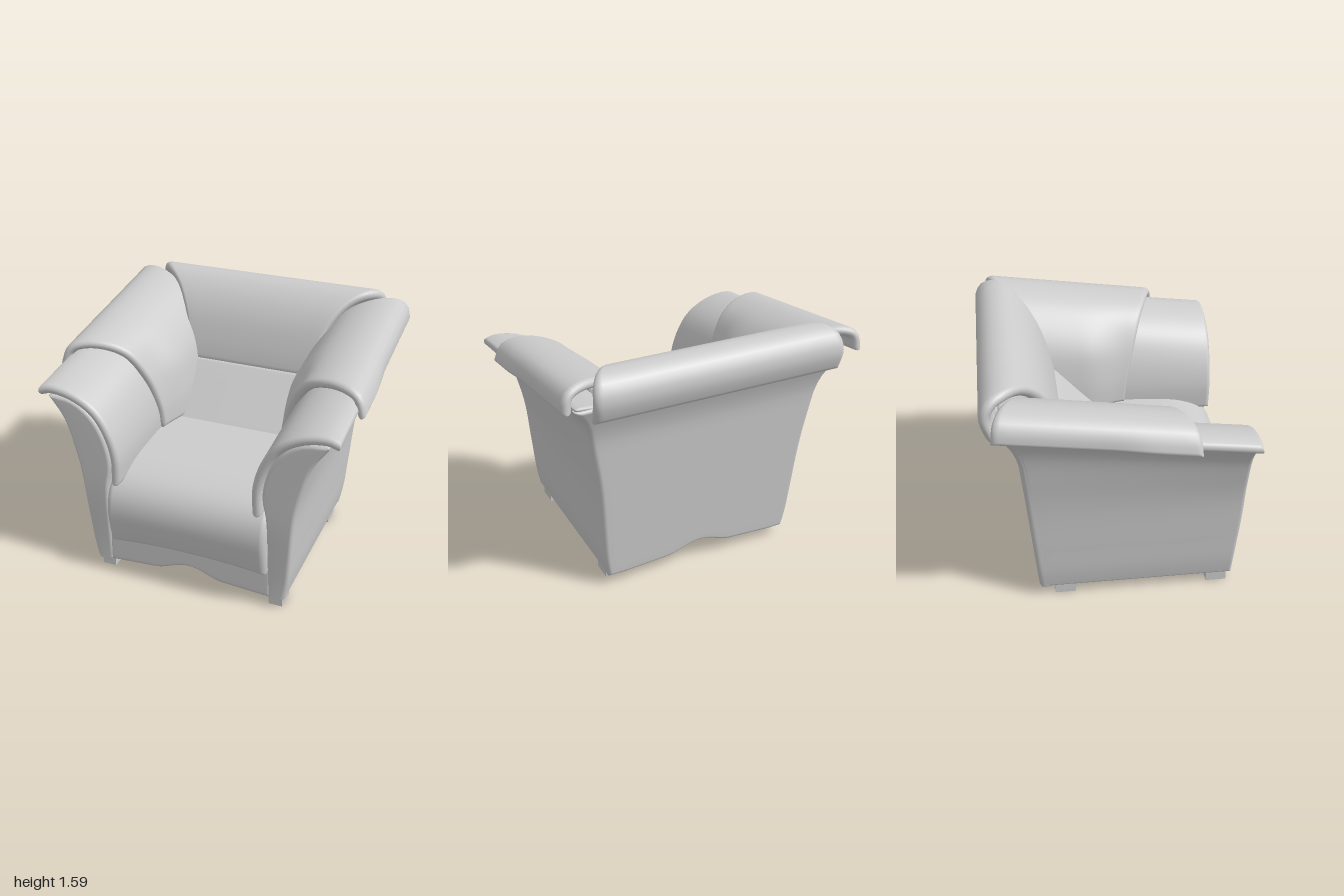
import * as THREE from 'three';
import { mergeVertices } from 'three/addons/utils/BufferGeometryUtils.js';

const material = new THREE.MeshStandardMaterial({ color: 0xcccccc, roughness: 0.8 });
const { lerp, clamp } = THREE.MathUtils;
const ease = (a, b, t) => THREE.MathUtils.smoothstep(t, a, b);
const V = (x, y, z) => new THREE.Vector3(x, y, z);
const curve = (pts) => new THREE.CatmullRomCurve3(pts.map(([x, y, z = 0]) => V(x, y, z)), false, 'centripetal');

// Parameters from 0 to 1, packed at both ends to form a rounded edge of radius r
function stops(length, r, n) {
  const edge = [{ s: 0, inset: 1, cap: true }];
  for (let i = 0; i <= 5; i++) {
    const a = (i / 5) * Math.PI / 2;
    edge.push({ s: r * (1 - Math.cos(a)) / length, inset: 1 - Math.sin(a) });
  }
  const s0 = r / length, middle = [];
  for (let i = 1; i < n; i++) middle.push({ s: lerp(s0, 1 - s0, i / n), inset: 0 });
  return [...edge, ...middle, ...edge.map((e) => ({ ...e, s: 1 - e.s })).reverse()];
}

// Closed body between two surfaces A(u,v) and B(u,v), with rounded edges
function body(name, A, B, r, nu = 24, nv = 16) {
  const span = (f) => {
    let d = 0;
    for (let i = 0; i < 12; i++) d += f(i / 12).distanceTo(f((i + 1) / 12));
    return d;
  };
  const us = stops(span((t) => A(t, 0.5)), r, nu);
  const vs = stops(span((t) => A(0.5, t)), r, nv);
  const pos = [], index = [], W = vs.length, half = us.length * W;
  for (const [P, Q] of [[A, B], [B, A]]) {
    for (const u of us) for (const v of vs) {
      const p = P(u.s, v.s), q = Q(u.s, v.s), h = p.distanceTo(q) / 2;
      const k = u.cap || v.cap ? 0 : clamp(1 - r * Math.max(u.inset, v.inset) / h, 0, 1);
      const m = p.clone().add(q).multiplyScalar(0.5);
      pos.push(...m.lerp(p, k).toArray());
    }
  }
  // Choose the winding that faces away from the opposite surface
  const e = 0.01, c = A(0.5, 0.5);
  const n = A(0.5 + e, 0.5).sub(c).cross(A(0.5, 0.5 + e).sub(c));
  const flip = n.dot(c.clone().sub(B(0.5, 0.5))) < 0;
  for (let side = 0; side < 2; side++) {
    for (let i = 0; i < us.length - 1; i++) for (let j = 0; j < W - 1; j++) {
      const a = side * half + i * W + j, b = a + W;
      if (flip !== (side === 1)) index.push(a, a + 1, b, b, a + 1, b + 1);
      else index.push(a, b, a + 1, b, b + 1, a + 1);
    }
  }
  let g = new THREE.BufferGeometry();
  g.setAttribute('position', new THREE.Float32BufferAttribute(pos, 3));
  g.setIndex(index);
  g = mergeVertices(g, 1e-5);
  g.computeVertexNormals();
  const mesh = new THREE.Mesh(g, material);
  mesh.name = name;
  return mesh;
}

// Cushion of even thickness around a centre surface C(u,v)
function cushion(name, C, thickness, nu, nv) {
  const side = (k) => (u, v) => {
    const e = 0.004;
    const du = C(Math.min(u + e, 1), v).sub(C(Math.max(u - e, 0), v));
    const dv = C(u, Math.min(v + e, 1)).sub(C(u, Math.max(v - e, 0)));
    return C(u, v).addScaledVector(du.cross(dv).normalize(), k * thickness / 2);
  };
  return body(name, side(1), side(-1), thickness / 2, nu, nv);
}

// Shared shape rules: raked back, rising arms, arched lower edge
const backZ = (y) => -0.495 - 0.09 * y - 0.09 * Math.pow(Math.max(0, (y - 1.1) / 0.3), 1.5);
const frontZ = (y) => 0.742 + 0.03 * ease(0.05, 0.7, y);
const rise = (y, z) => 0.13 * (0.77 - z) * ease(0.6, 1.2, y);
const arch = (x) => 0.05 * (1 - ease(0.02, 0.23, Math.abs(x))) + 0.035 * Math.max(0, 1 - Math.abs(x) / 0.52);

const armOuter = curve([[0.635, 0.068], [0.658, 0.2], [0.674, 0.4], [0.7, 0.715], [0.737, 0.89], [0.79, 1.06], [0.885, 1.2]]);
const armInner = curve([[0.525, 0.068], [0.525, 0.3], [0.515, 0.65], [0.49, 0.8], [0.525, 0.98], [0.605, 1.115], [0.72, 1.195], [0.87, 1.215]]);
const lowerPad = curve([[0.462, 0.665], [0.46, 0.85], [0.505, 1.01], [0.59, 1.14], [0.725, 1.22], [0.87, 1.245], [0.94, 1.225]]);
const upperPad = curve([[0.425, 0.775], [0.437, 0.93], [0.495, 1.13], [0.61, 1.305], [0.79, 1.372], [0.92, 1.345], [0.968, 1.24]]);

function armSide(m) {
  const g = new THREE.Group();
  g.name = m > 0 ? 'leftArm' : 'rightArm';

  // Flared side panel
  const wall = (c) => (u, v) => {
    const p = c.getPointAt(u);
    const z = lerp(frontZ(p.y), backZ(p.y + 0.18 * ease(0.6, 1.2, p.y)) + 0.02, v);
    return V(m * p.x, p.y + rise(p.y, z), z);
  };
  g.add(body('armPanel', wall(armOuter), wall(armInner), 0.025, 30, 14));

  // Lower pad draped over the front of the arm
  g.add(cushion('lowerArmPad', (u, v) => {
    const p = lowerPad.getPointAt(u), z = lerp(0.78, -0.1, v);
    return V(m * p.x, p.y + rise(p.y, z), z);
  }, 0.06, 30, 10));

  // Upper pad with a slanting front edge, swelling inwards towards the back
  g.add(cushion('upperArmPad', (u, v) => {
    const p = upperPad.getPointAt(u);
    const t = clamp((p.x - 0.425) / 0.543, 0, 1);
    const z = lerp(0.17 + 0.26 * Math.pow(t, 0.6), -0.4 - 0.34 * Math.sqrt(t), v);
    const swell = 0.06 * (1 - ease(-0.1, 0.2, z)) * (1 - ease(1.05, 1.38, p.y));
    return V(m * (p.x - swell), p.y + 0.14 * (0.43 - z) * ease(0.75, 1.2, p.y), z);
  }, 0.06, 32, 18));

  // Block feet
  for (const z of [0.645, -0.338]) {
    const foot = new THREE.Mesh(new THREE.BoxGeometry(0.088, 0.09, 0.132), material);
    foot.position.set(m * 0.573, 0.045, z);
    foot.name = 'foot';
    g.add(foot);
  }
  return g;
}

export function createModel() {
  const chair = new THREE.Group();
  chair.name = 'armchair';
  chair.add(armSide(1), armSide(-1));

  // Outer back panel with arched lower edge
  const backFace = (depth) => (u, v) => {
    const p = armOuter.getPointAt(u), x = lerp(-1, 1, v) * p.x;
    const y = p.y + 0.18 * ease(0.6, 1.2, p.y) + arch(x) * Math.pow(1 - u, 4);
    return V(x, y, backZ(y) + depth);
  };
  chair.add(body('backPanel', backFace(0), backFace(0.08), 0.03, 24, 40));

  // Backrest cushion rolling over the top: half width, height, depth
  const roll = curve([[0.43, 1.055, -0.335], [0.45, 1.2, -0.37], [0.51, 1.38, -0.44], [0.6, 1.5, -0.53],
    [0.73, 1.56, -0.64], [0.79, 1.535, -0.73], [0.805, 1.46, -0.765], [0.8, 1.32, -0.728]]);
  chair.add(cushion('backrestCushion', (u, v) => {
    const p = roll.getPointAt(u);
    return V(lerp(-1, 1, v) * p.x, p.y, p.z);
  }, 0.07, 32, 16));

  // Sloping lower back panel
  chair.add(cushion('lowerBackPanel', (u, v) =>
    V(lerp(-0.45, 0.45, v), lerp(1.075, 0.72, u), lerp(-0.335, 0.01, u)), 0.06, 8, 8));

  // Seat cushion curving down over the front
  const seat = curve([[0, 0.74, -0.15], [0, 0.738, 0.1], [0, 0.73, 0.35], [0, 0.705, 0.55], [0, 0.65, 0.68],
    [0, 0.58, 0.74], [0, 0.48, 0.762], [0, 0.36, 0.75], [0, 0.235, 0.725]]);
  chair.add(cushion('seatCushion', (u, v) => {
    const p = seat.getPointAt(u), s = lerp(-1, 1, v);
    return V(s * 0.525, p.y + 0.03 * (1 - s * s) * ease(0.7, 1, u), p.z);
  }, 0.08, 32, 14));

  // Arched front apron
  const apron = (z) => (u, v) => {
    const x = lerp(-0.54, 0.54, v);
    return V(x, lerp(0.068 + arch(x), 0.28, u), z);
  };
  chair.add(body('apron', apron(0.74), apron(0.69), 0.015, 6, 40));

  // Underside board
  const board = new THREE.Mesh(new THREE.BoxGeometry(1.1, 0.04, 1.18), material);
  board.position.set(0, 0.18, 0.11);
  board.name = 'bottomBoard';
  chair.add(board);
  return chair;
}
